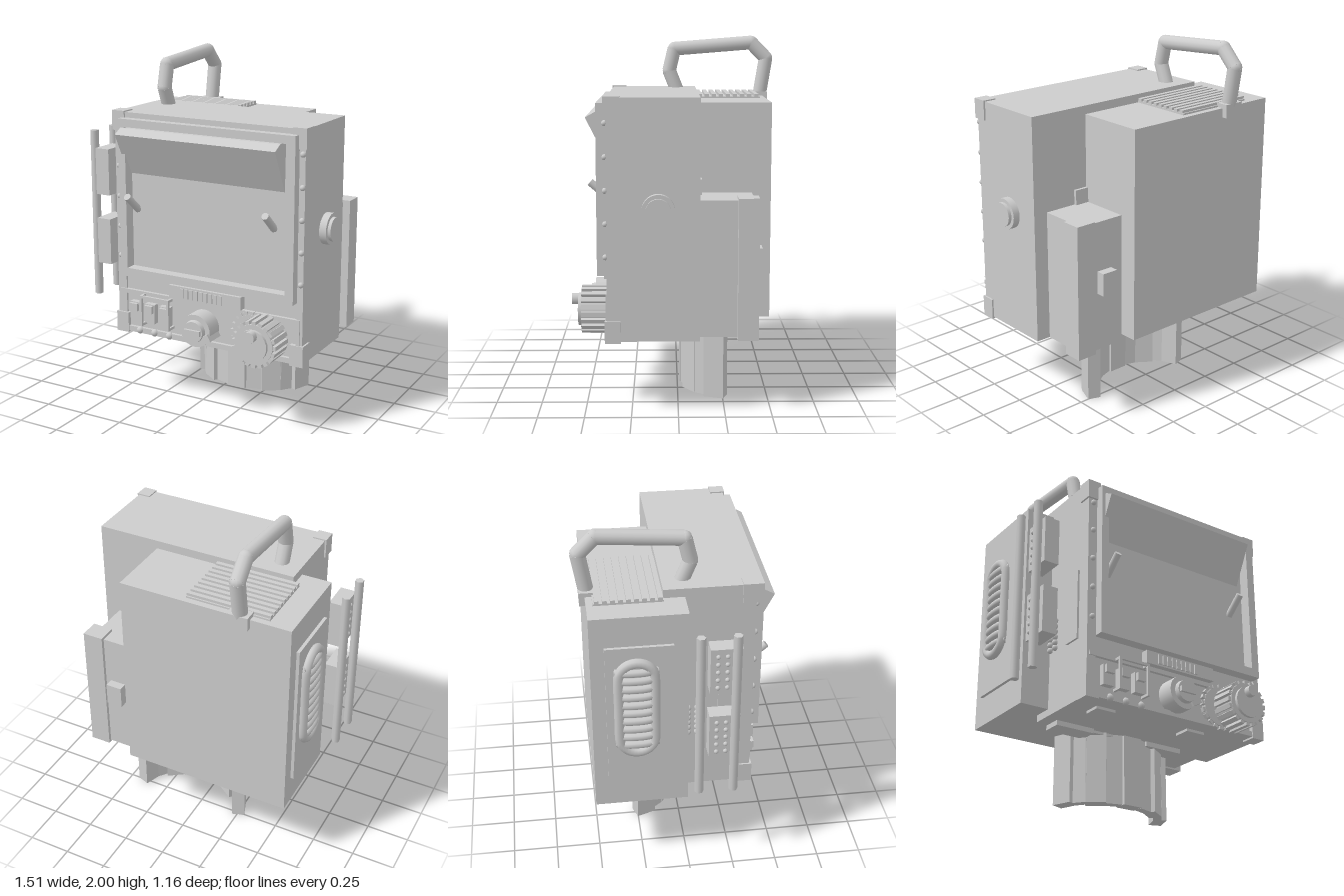
import * as THREE from 'three';

export function createModel() {
  const model = new THREE.Group();
  const grey = new THREE.MeshStandardMaterial({ color: 0xcccccc });
  grey.name = 'plain grey';

  const add = (name, geo) => {
    const m = new THREE.Mesh(geo, grey);
    m.name = name;
    model.add(m);
    return m;
  };
  // box given by its limits on each axis
  const box = (name, x0, x1, y0, y1, z0, z1) => {
    const m = add(name, new THREE.BoxGeometry(x1 - x0, y1 - y0, z1 - z0));
    m.position.set((x0 + x1) / 2, (y0 + y1) / 2, (z0 + z1) / 2);
    return m;
  };
  // cylinder between two points
  const rod = (name, a, b, r, sides = 12, r2 = r) => {
    const p = new THREE.Vector3(...a), q = new THREE.Vector3(...b);
    const d = q.clone().sub(p);
    const m = add(name, new THREE.CylinderGeometry(r2, r, d.length(), sides));
    m.position.copy(p).add(q).multiplyScalar(0.5);
    m.quaternion.setFromUnitVectors(new THREE.Vector3(0, 1, 0), d.normalize());
    return m;
  };
  const ball = (name, x, y, z, r) =>
    add(name, new THREE.SphereGeometry(r, 10, 8)).position.set(x, y, z);

  // Housings
  box('mainHousing', -0.49, 0.695, 0.4, 1.69, -0.115, 0.365);
  box('rearHousing', -0.66, 0.335, 0.44, 1.642, -0.515, 0);
  box('sideHousing', 0.335, 0.61, 0.4, 1.145, -0.41, -0.115);
  box('sidePost', 0.535, 0.655, 0.39, 1.16, -0.43, -0.318);
  box('rearLatch', 0.41, 0.505, 0.735, 0.865, -0.46, -0.41);
  box('hingePlate', 0.335, 0.42, 1.14, 1.23, -0.132, -0.115);

  // Corner blocks and edge rails
  for (const [x0, x1] of [[-0.5, -0.42], [0.625, 0.705]])
    for (const [y0, y1] of [[1.585, 1.697], [0.39, 0.51]])
      box('cornerBlock', x0, x1, y0, y1, 0.305, 0.39);
  box('topRail', -0.42, 0.63, 1.66, 1.69, 0.36, 0.38);
  box('bottomRail', -0.42, 0.63, 0.4, 0.43, 0.36, 0.385);
  for (const [x0, x1, rx] of [[-0.49, -0.435, -0.462], [0.66, 0.695, 0.683]]) {
    box('sideRail', x0, x1, 0.51, 1.585, 0.36, 0.378);
    for (let i = 0; i < 5; i++) ball('rivet', rx, 0.855 + i * 0.176, 0.383, 0.016);
  }

  // Screen bezel
  box('bezelTop', -0.435, 0.66, 1.615, 1.66, 0.36, 0.43);
  box('bezelBottom', -0.435, 0.66, 0.75, 0.8, 0.36, 0.43);
  box('bezelLeft', 0.61, 0.66, 0.8, 1.615, 0.36, 0.43);
  box('bezelRight', -0.435, -0.39, 0.8, 1.615, 0.36, 0.43);

  // Sloping screen hood, extruded along x
  const hood = new THREE.Shape([[-0.365, 1.615], [-0.435, 1.61], [-0.49, 1.58], [-0.37, 1.345]]
    .map(p => new THREE.Vector2(...p)));
  const hoodGeo = new THREE.ExtrudeGeometry(hood, { depth: 0.99, bevelEnabled: false });
  hoodGeo.rotateY(Math.PI / 2);
  add('screenHood', hoodGeo).position.x = -0.415;

  // Screen pegs
  for (const x of [-0.355, 0.51])
    rod('screenPeg', [x, 1.135, 0.36], [x, 1.23, 0.47], 0.021, 8);

  // Slotted grille strip
  box('grilleStrip', -0.125, 0.335, 0.66, 0.735, 0.36, 0.41);
  for (let i = 0; i < 9; i++) {
    const x = -0.05 + i * 0.031;
    box('grilleRib', x, x + 0.021, 0.67, 0.725, 0.41, 0.418);
  }
  box('panelTopBar', -0.475, 0.68, 0.63, 0.655, 0.36, 0.385);
  box('panelEndBar', 0.66, 0.68, 0.51, 0.63, 0.36, 0.385);

  // Switches inside a guard
  for (let i = 0; i < 3; i++) {
    const x = -0.365 + i * 0.1;
    box('switch', x - 0.033, x + 0.033, 0.475, 0.59, 0.36, 0.4);
    box('switchLever', x - 0.025, x + 0.025, 0.54, 0.585, 0.4, 0.42);
    ball('switchLamp', x + 0.02, 0.415, 0.38, 0.022);
  }
  for (const x of [-0.307, -0.127]) {
    box('guardPost', x - 0.007, x + 0.007, 0.46, 0.645, 0.415, 0.43);
    box('guardFoot', x - 0.007, x + 0.007, 0.46, 0.475, 0.36, 0.43);
    box('guardFoot', x - 0.007, x + 0.007, 0.63, 0.645, 0.36, 0.43);
  }
  box('guardBar', -0.314, -0.12, 0.63, 0.645, 0.415, 0.43);

  // Selector knob
  rod('selectorBase', [0.08, 0.515, 0.36], [0.08, 0.515, 0.47], 0.095, 24);
  rod('selectorFace', [0.08, 0.515, 0.47], [0.08, 0.515, 0.495], 0.065, 24, 0.06);
  box('selectorGrip', 0.03, 0.13, 0.5, 0.53, 0.49, 0.51);
  box('selectorPointer', 0.115, 0.18, 0.455, 0.5, 0.37, 0.485).rotation.z = 0.5;

  // Toothed dials
  const gear = (name, x, y, r, z1, teeth) => {
    rod(name, [x, y, 0.36], [x, y, z1], r - 0.015, 28);
    for (let i = 0; i < teeth; i++) {
      const a = i / teeth * Math.PI * 2;
      const t = add(name + 'Tooth', new THREE.BoxGeometry(0.032, 0.024, z1 - 0.375));
      t.position.set(x + Math.cos(a) * (r - 0.014), y + Math.sin(a) * (r - 0.014), (z1 + 0.37) / 2);
      t.rotation.z = a;
    }
  };
  gear('rearDial', 0.395, 0.525, 0.13, 0.395, 20);
  gear('frontDial', 0.475, 0.525, 0.13, 0.525, 20);
  rod('dialFace', [0.475, 0.525, 0.52], [0.475, 0.525, 0.542], 0.088, 24);
  rod('dialCrank', [0.475, 0.582, 0.53], [0.475, 0.582, 0.578], 0.032, 12);

  // Side button on the left wall
  rod('sideButton', [0.69, 1.105, 0.105], [0.735, 1.105, 0.105], 0.088, 28);
  rod('sideButtonCap', [0.735, 1.105, 0.105], [0.753, 1.105, 0.105], 0.067, 28);

  // Rods and battery boxes beside the right wall
  for (const z of [0.05, 0.24]) rod('sideRod', [-0.733, 0.54, z], [-0.733, 1.54, z], 0.025, 6);
  for (const y of [0.745, 1.165]) {
    box('sideBox', -0.705, -0.615, y, y + 0.275, 0.105, 0.275);
    for (let i = 0; i < 5; i++)
      for (const z of [0.145, 0.195]) ball('boxStud', -0.706, y + 0.04 + i * 0.048, z, 0.013);
  }
  box('wallPlate', -0.502, -0.49, 0.75, 1.16, 0.185, 0.295);
  for (let i = 0; i < 6; i++)
    for (const z of [0.02, 0.07]) ball('wallStud', -0.5, 0.775 + i * 0.033, z, 0.017);

  // Coil on the right wall of the rear housing
  box('coilPlate', -0.678, -0.66, 0.61, 1.47, -0.44, -0.08);
  const ring = [];
  for (let i = 0; i < 24; i++) {
    const a = i / 24 * Math.PI * 2;
    const s = Math.sin(a);
    ring.push(new THREE.Vector3(-0.69, 1.1 + 0.09 * s + Math.sign(Math.round(s * 1e6)) * 0.195, -0.278 + 0.095 * Math.cos(a)));
  }
  add('coilRim', new THREE.TubeGeometry(new THREE.CatmullRomCurve3(ring, true), 64, 0.027, 8, true));
  for (let i = 0; i < 10; i++) {
    const y = 0.87 + i * 0.051;
    const arch = new THREE.CatmullRomCurve3([[-0.675, -0.39], [-0.695, -0.34], [-0.7, -0.278], [-0.695, -0.216], [-0.675, -0.166]]
      .map(([x, z]) => new THREE.Vector3(x, y, z)));
    add('coilTurn', new THREE.TubeGeometry(arch, 12, 0.021, 8));
  }

  // Top vent
  box('ventPlate', -0.525, -0.045, 1.64, 1.652, -0.48, -0.115);
  for (let i = 0; i < 9; i++) {
    const z = -0.46 + i * 0.041;
    box('ventSlat', -0.525, -0.045, 1.645, 1.667, z - 0.012, z + 0.012);
  }

  // Carrying handle
  const path = [[1.67, -0.005], [1.79, 0.043], [1.92, 0.012], [1.957, -0.45], [1.865, -0.54], [1.65, -0.505]];
  for (let i = 0; i < path.length - 1; i++) {
    rod('handleTube', [-0.37, ...path[i]], [-0.37, ...path[i + 1]], 0.041, 12);
    if (i) ball('handleJoint', -0.37, ...path[i], 0.041);
  }
  box('handleFoot', -0.43, -0.31, 1.59, 1.665, -0.545, -0.455);

  // Underside strip and pads
  box('bottomStrip', -0.26, 0.42, 0.385, 0.4, -0.1, -0.04);
  for (const x of [-0.3, 0.3]) {
    box('bottomPad', x - 0.12, x + 0.12, 0.372, 0.4, -0.13, -0.02);
    box('bottomPad', x - 0.06, x + 0.06, 0.385, 0.4, 0.18, 0.28);
  }

  // Fan of upright slabs forming the stand
  for (let i = 0; i < 9; i++) {
    const a = (i - 4) / 4 * 1.22;
    const slab = add('standSlab', new THREE.BoxGeometry(i % 2 ? 0.095 : 0.115, 0.4, i % 2 ? 0.05 : 0.075));
    slab.position.set(0.078 + 0.335 * Math.sin(a), 0.2, -0.295 + 0.245 * Math.cos(a));
    slab.rotation.y = a;
  }
  return model;
}
